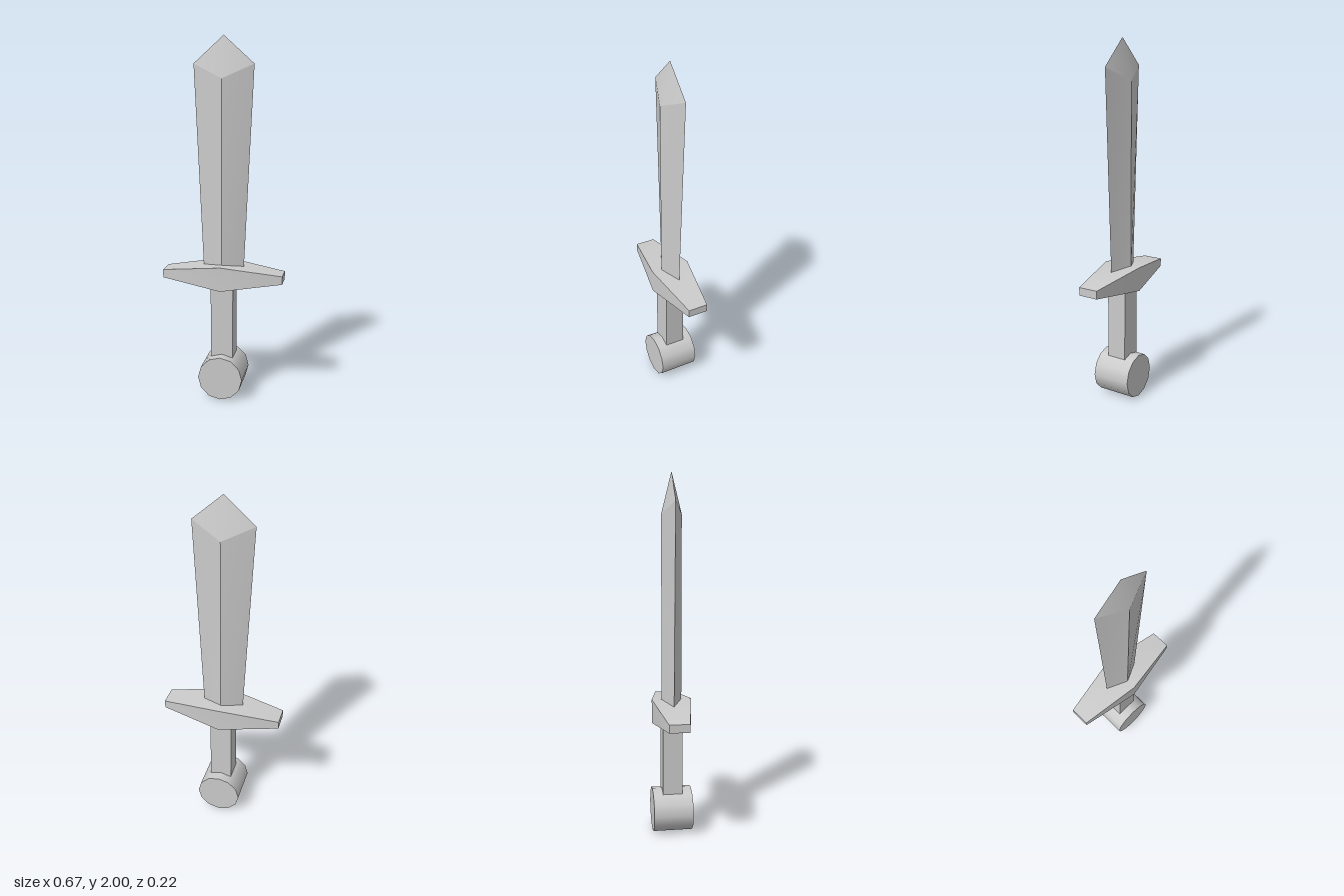
import * as THREE from 'three';
import { toCreasedNormals } from 'three/addons/utils/BufferGeometryUtils.js';

const material = new THREE.MeshStandardMaterial({ color: 0xcccccc });
const CREASE = THREE.MathUtils.degToRad(30);

function part(name, geometry) {
  const mesh = new THREE.Mesh(geometry, material);
  mesh.name = name;
  return mesh;
}

// Solid from a flat list of corner points, three per triangle
function fromTriangles(points) {
  const geometry = new THREE.BufferGeometry();
  geometry.setAttribute('position', new THREE.Float32BufferAttribute(points.flat(), 3));
  return toCreasedNormals(geometry, CREASE);
}

// Skin four-cornered sections, counter-clockwise about the loft direction, and cap both ends
function loft(rings) {
  const points = [];
  for (let i = 0; i < rings.length - 1; i++) {
    for (let j = 0; j < 4; j++) {
      const k = (j + 1) % 4;
      const [a, b, c, d] = [rings[i][j], rings[i][k], rings[i + 1][k], rings[i + 1][j]];
      points.push(a, b, c, a, c, d);
    }
  }
  const [s, e] = [rings[0], rings[rings.length - 1]];
  points.push(s[0], s[2], s[1], s[0], s[3], s[2], e[0], e[1], e[2], e[0], e[2], e[3]);
  return fromTriangles(points);
}

// Diamond section of the blade; ridge and edge corners may differ in height
const diamond = (halfWidth, edgeY, ridgeY, z = 0.055) => [
  [0, ridgeY, z], [halfWidth, edgeY, 0], [0, ridgeY, -z], [-halfWidth, edgeY, 0],
];

// Rectangular section of the guard
const guardSection = (x, bottom, top, z) => [
  [x, top, z], [x, bottom, z], [x, bottom, -z], [x, top, -z],
];

export function createModel() {
  const sword = new THREE.Group();
  sword.name = 'sword';

  // Blade widening upward, with a ridge down each face
  const shoulder = diamond(0.163, 1.855, 1.78);
  const blade = loft([diamond(0.111, 0.7, 0.7), shoulder]);
  sword.add(part('blade', blade));

  // Four-sided point
  const apex = [0, 2, 0];
  const tip = shoulder.flatMap((corner, i) => [corner, shoulder[(i + 1) % 4], apex]);
  sword.add(part('bladeTip', fromTriangles(tip)));

  // Crossguard tapering to both ends
  sword.add(part('guard', loft([
    guardSection(-0.335, 0.685, 0.73, 0.055),
    guardSection(0, 0.64, 0.775, 0.11),
    guardSection(0.335, 0.685, 0.73, 0.055),
  ])));

  // Square grip between guard and pommel
  const grip = part('grip', new THREE.BoxGeometry(0.125, 0.45, 0.11));
  grip.position.y = 0.455;
  sword.add(grip);

  // Pommel: drum lying front to back
  const pommel = part('pommel', new THREE.CylinderGeometry(0.125, 0.125, 0.22, 12).rotateX(Math.PI / 2));
  pommel.position.y = 0.127;
  sword.add(pommel);

  return sword;
}
